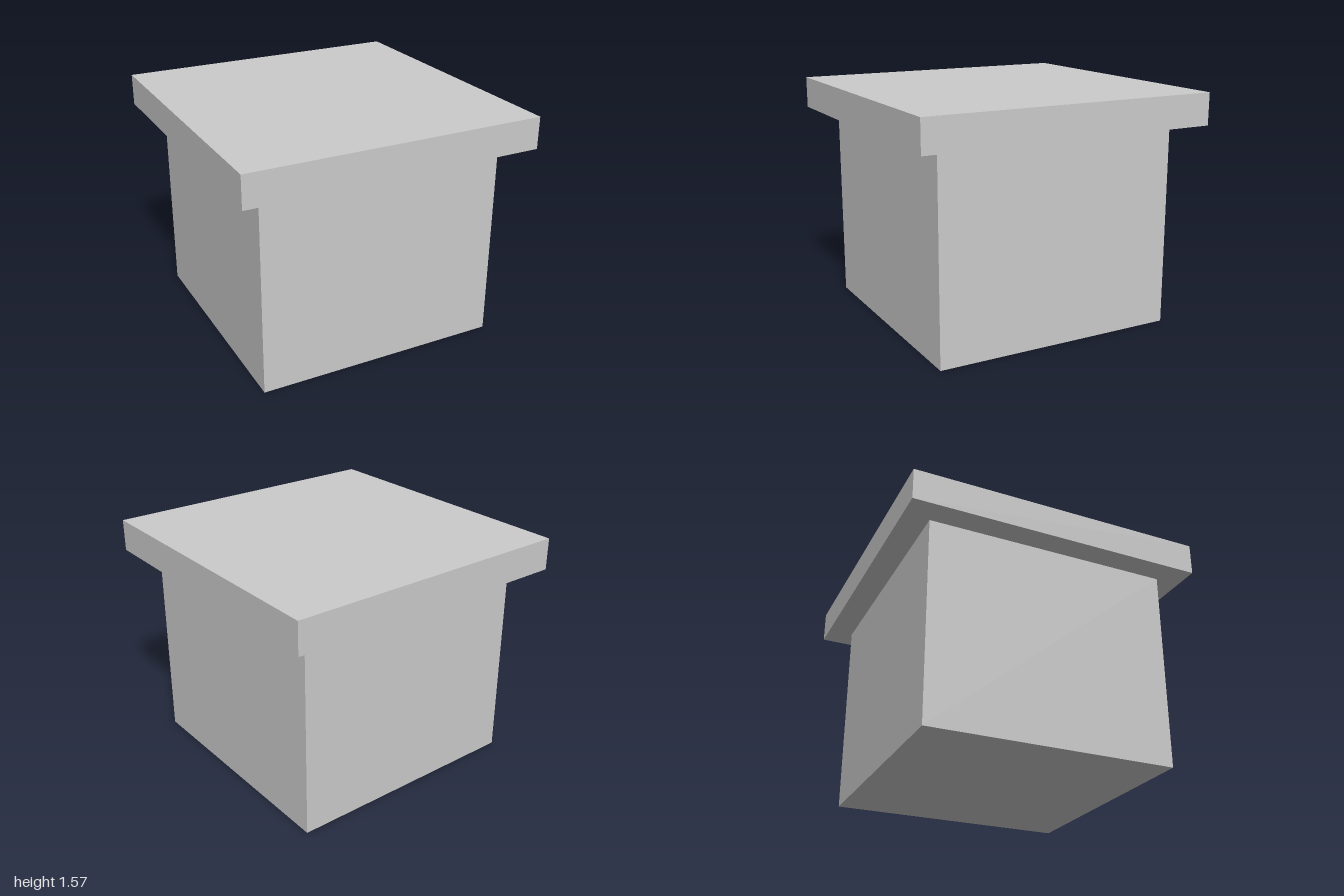
import * as THREE from 'three';

const material = new THREE.MeshStandardMaterial({ color: 0xcccccc, flatShading: true });

// Box standing on a given height
function block(name, width, height, depth, bottom) {
  const mesh = new THREE.Mesh(new THREE.BoxGeometry(width, height, depth), material);
  mesh.name = name;
  mesh.position.y = bottom + height / 2;
  return mesh;
}

export function createModel() {
  const model = new THREE.Group();
  model.name = 'pedestal';

  const bodyHeight = 1.357;
  // Main square body
  model.add(block('body', 1.655, bodyHeight, 1.655, 0));
  // Overhanging top slab
  model.add(block('topSlab', 1.99, 0.213, 2, bodyHeight));

  return model;
}
